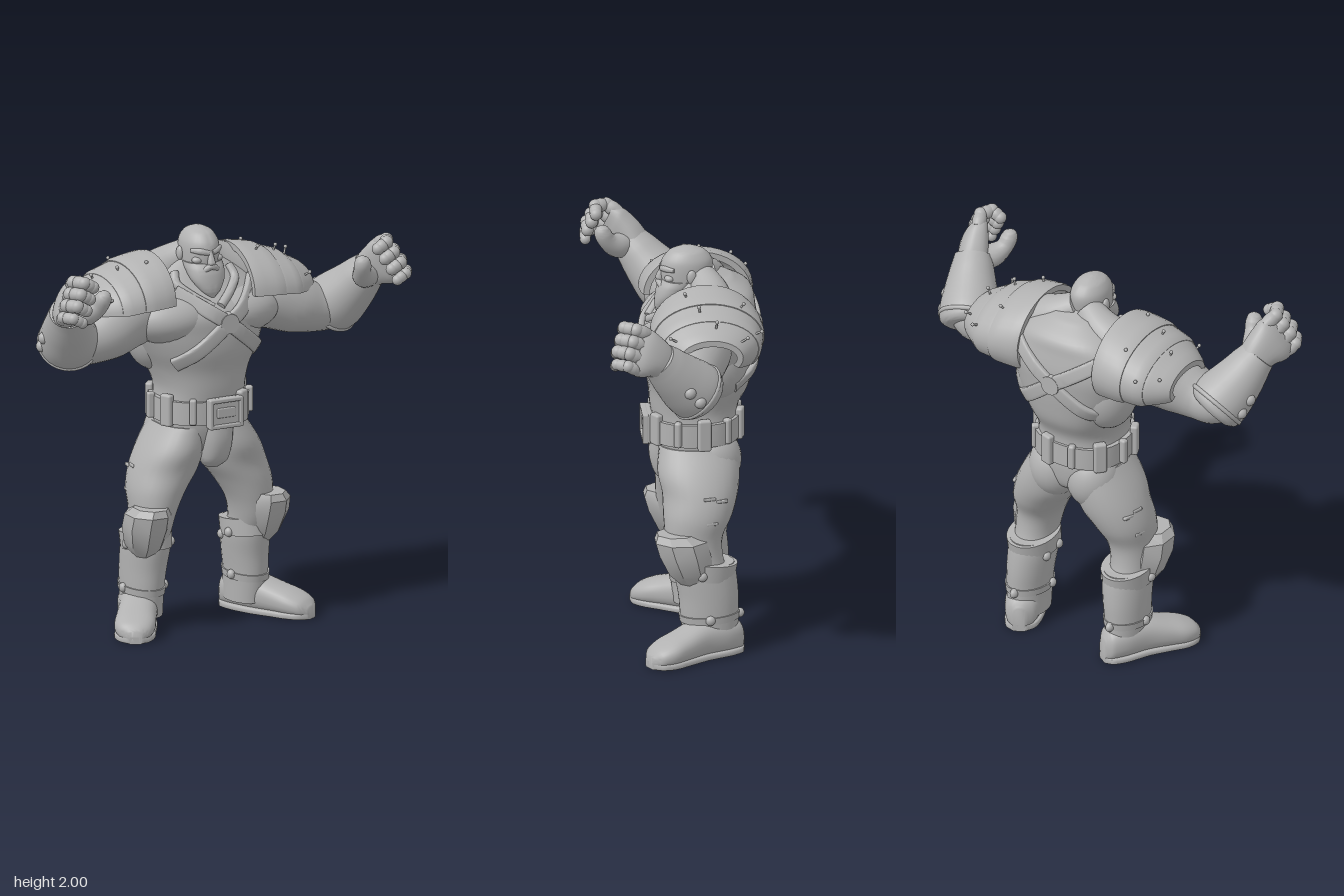
import * as THREE from 'three';
import { toCreasedNormals } from 'three/addons/utils/BufferGeometryUtils.js';
import { RoundedBoxGeometry } from 'three/addons/geometries/RoundedBoxGeometry.js';

const V = (x, y, z) => new THREE.Vector3(x, y, z);
const clay = new THREE.MeshStandardMaterial({ color: 0xb2b2b2 });
clay.name = 'clay grey';
const MID = 0.0175; // the lower body stands slightly off centre

// Closed skin over a list of equal rings, capped with strips, wound outwards
function skin(rings, crease = 0.8) {
  const n = rings[0].length, last = (rings.length - 1) * n, pos = [], idx = [];
  rings.forEach(r => r.forEach(p => pos.push(p.x, p.y, p.z)));
  for (let k = 0; k < last; k += n) for (let i = 0; i < n; i++) {
    const a = k + i, b = k + (i + 1) % n;
    idx.push(a, b, b + n, a, b + n, a + n);
  }
  for (let i = 0; i < n / 2 - 1; i++) {
    const j = n - 1 - i;
    idx.push(i + 1, i, j, i + 1, j, j - 1);
    idx.push(last + i, last + i + 1, last + j, last + i + 1, last + j - 1, last + j);
  }
  const P = i => V(pos[3 * i], pos[3 * i + 1], pos[3 * i + 2]);
  let vol = 0;
  for (let i = 0; i < idx.length; i += 3) vol += P(idx[i]).dot(P(idx[i + 1]).cross(P(idx[i + 2])));
  if (vol < 0) idx.reverse();
  const g = new THREE.BufferGeometry();
  g.setAttribute('position', new THREE.Float32BufferAttribute(pos, 3));
  g.setIndex(idx);
  return toCreasedNormals(g, crease);
}

// Rows are [x, y, z, radiusAcross, radiusOther]; dir fixes the ring plane
function loft(rows, { dir, up = V(0, 0, 1), n = 28, pow = 2, steps = 5, crease } = {}) {
  const path = new THREE.CatmullRomCurve3(rows.map(r => V(r[0], r[1], r[2])));
  const radii = new THREE.CatmullRomCurve3(rows.map(r => V(r[3], r[4] ?? r[3], 0)), false, 'catmullrom', 0.5);
  const rings = [], count = (rows.length - 1) * steps;
  for (let k = 0; k <= count; k++) {
    const c = path.getPoint(k / count), r = radii.getPoint(k / count);
    const t = dir ?? path.getTangent(k / count);
    const s = up.clone().cross(t).normalize(), o = t.clone().cross(s).normalize();
    rings.push(Array.from({ length: n }, (_, i) => {
      const a = (i + 0.5) / n * Math.PI * 2, f = v => Math.sign(v) * Math.abs(v) ** (2 / pow);
      return c.clone().addScaledVector(s, r.x * f(Math.cos(a))).addScaledVector(o, r.y * f(Math.sin(a)));
    }));
  }
  return skin(rings, crease);
}
const UP = V(0, 1, 0);
const stack = (rows, o = {}) => loft(rows, { dir: UP, ...o });
const ball = (x, y, z, a, b, c) => new THREE.SphereGeometry(1, 28, 20).scale(a, b, c).translate(x, y, z);
const box = (x, y, z, w, h, d, ry = 0, r = 0.012) =>
  new RoundedBoxGeometry(w, h, d, 2, Math.min(r, w / 3, h / 3, d / 3)).rotateY(ry).translate(x, y, z);
function peg(p, d, r, len) {
  return new THREE.CylinderGeometry(r * 0.8, r, len, 8)
    .applyQuaternion(new THREE.Quaternion().setFromUnitVectors(UP, d)).translate(p.x, p.y, p.z);
}

function mirror(geo) {
  const g = geo.index ? geo.toNonIndexed() : geo.clone();
  for (const k of ['position', 'normal']) {
    const a = g.attributes[k].array;
    for (let i = 0; i < a.length; i += 9) for (let j = 0; j < 3; j++)
      [a[i + 3 + j], a[i + 6 + j]] = [a[i + 6 + j], a[i + 3 + j]];
    for (let i = 0; i < a.length; i += 3) a[i] *= -1;
  }
  return g;
}

// Torso profile, also used to lay straps on its surface
const TORSO = [
  [0.0175, 0.84, -0.08, 0.08, 0.1], [0.0175, 0.9, -0.085, 0.18, 0.17], [0.0175, 1.0, -0.08, 0.22, 0.2],
  [0.0175, 1.1, -0.075, 0.22, 0.205], [0.0175, 1.2, -0.07, 0.215, 0.215], [0.015, 1.3, -0.09, 0.245, 0.245],
  [0.012, 1.4, -0.09, 0.295, 0.268], [0.005, 1.5, -0.095, 0.335, 0.278], [0, 1.6, -0.105, 0.36, 0.278],
  [0, 1.7, -0.145, 0.33, 0.225], [0, 1.78, -0.165, 0.24, 0.185], [0, 1.85, -0.14, 0.11, 0.11]];
function onTorso(x, y, side, lift) {
  const i = Math.max(1, TORSO.findIndex(r => r[1] >= y)), a = TORSO[i - 1], b = TORSO[i];
  const m = a.map((v, k) => v + (b[k] - v) * (y - a[1]) / (b[1] - a[1]));
  const u = Math.min(0.98, Math.abs((x - m[0]) / m[3]));
  return m[2] + side * (m[4] * (1 - u ** 2.4) ** (1 / 2.4) + lift);
}

export function createModel() {
  const model = new THREE.Group();
  model.name = 'armouredStrongman';
  const add = (name, geo, dx = 0, dy = 0) => {
    const m = new THREE.Mesh(geo, clay);
    m.name = name;
    m.position.set(dx, dy, 0);
    model.add(m);
  };
  const pair = (name, geo, mid = 0, rx = 0, ry = 0) => {
    add(name + 'Left', geo, mid);
    add(name + 'Right', mirror(geo), mid + rx, ry);
  };

  // Torso and muscles
  add('torso', stack(TORSO, { n: 40, pow: 2.4 }));
  pair('pectoral', ball(0.17, 1.57, 0.0, 0.24, 0.13, 0.175));
  pair('latissimus', ball(0.185, 1.47, -0.16, 0.14, 0.2, 0.16));
  pair('trapezius', loft([[0.03, 1.85, -0.11, 0.07], [0.13, 1.785, -0.14, 0.1], [0.28, 1.7, -0.14, 0.13]]));
  pair('glute', ball(0.11, 0.94, -0.15, 0.135, 0.16, 0.145), MID);

  // Crossing straps with round clasps, front and back
  for (const s of [1, -1]) for (const m of [1, -1]) {
    const cx = s > 0 ? 0.045 : 0, rows = [-0.25, -0.17, -0.08, 0, 0.08, 0.16, 0.23].map(d => {
      const x = cx + m * d, y = 1.55 + d * (d > 0 ? 0.68 : 0.8);
      return [x, y, onTorso(x, y, s, 0.008), 0.036, 0.016];
    });
    add('chestStrap', loft(rows, { pow: 5, n: 16 }));
  }
  for (const [x, s] of [[0.045, 1], [0, -1]]) {
    const z = onTorso(x, 1.55, s, 0.005);
    add('clasp', new THREE.CylinderGeometry(0.05, 0.056, 0.045, 24).rotateX(s * Math.PI / 2).translate(x, 1.55, z));
  }
  const lip = [[0.15, 1.785], [0.16, 1.74], [0.11, 1.69], [0.02, 1.63]].map(([x, y]) => [x, y, onTorso(x, y, 1, 0.004), 0.022, 0.022]);
  pair('collar', loft(lip, { n: 14 }));

  // Head, face and beard
  add('neck', stack([[0, 1.7, -0.07, 0.1], [0, 1.86, -0.05, 0.085]]));
  add('skull', stack([[0, 1.75, -0.03, 0.06, 0.08], [0, 1.8, -0.03, 0.086, 0.11], [0, 1.87, -0.035, 0.093, 0.126],
    [0, 1.93, -0.04, 0.088, 0.122], [0, 1.975, -0.04, 0.062, 0.085], [0, 1.995, -0.04, 0.025, 0.035], [0, 2, -0.04, 0.003]]));
  add('beard', stack([[0, 1.668, 0.1, 0.012, 0.012], [0, 1.7, 0.085, 0.05, 0.036], [0, 1.75, 0.055, 0.085, 0.062],
    [0, 1.8, 0.02, 0.097, 0.085], [0, 1.835, -0.005, 0.096, 0.088]], { pow: 2.2 }));
  add('moustache', loft([[-0.055, 1.785, 0.075, 0.012], [0, 1.822, 0.1, 0.016], [0.055, 1.785, 0.075, 0.012]]));
  add('nose', stack([[0, 1.828, 0.093, 0.02, 0.018], [0, 1.842, 0.093, 0.02, 0.022], [0, 1.89, 0.08, 0.011, 0.012]], { n: 12 }));
  pair('brow', loft([[0.006, 1.887, 0.083, 0.015], [0.045, 1.895, 0.068, 0.016], [0.08, 1.896, 0.03, 0.01]], { n: 12 }));
  pair('cheek', ball(0.055, 1.85, 0.05, 0.028, 0.018, 0.025));
  pair('ear', ball(0.095, 1.865, -0.055, 0.016, 0.036, 0.024));

  // Belt, buckle and pouches
  add('belt', stack([[MID, 1.04, -0.07, 0.238, 0.222], [MID, 1.155, -0.07, 0.238, 0.222]], { n: 40, pow: 2.4, steps: 1 }));
  for (let i = 1; i < 11; i++) {
    const a = Math.PI / 2 + i / 11 * Math.PI * 2, wide = i % 2;
    add('beltPouch', box(MID + 0.25 * Math.cos(a), 1.108, -0.07 + 0.228 * Math.sin(a), wide ? 0.035 : 0.065, wide ? 0.13 : 0.16, 0.04, Math.PI / 2 - a));
  }
  add('buckle', box(0.037, 1.097, 0.155, 0.185, 0.15, 0.04));
  for (const s of [1, -1]) {
    add('buckleRim', box(0.037, 1.097 + s * 0.065, 0.172, 0.185, 0.022, 0.03));
    add('buckleRim', box(0.037 + s * 0.082, 1.097, 0.172, 0.022, 0.15, 0.03));
  }
  add('buckleBar', box(0.037, 1.1, 0.172, 0.1, 0.05, 0.02));
  add('loinGuard', stack([[0.035, 0.8, 0.02, 0.035, 0.05], [0.035, 0.84, 0.045, 0.065, 0.075], [0.035, 0.94, 0.05, 0.082, 0.1],
    [0.035, 1.06, 0.045, 0.087, 0.1]], { pow: 2.5 }));

  // Legs, knee guards and boots
  pair('thigh', stack([[0.11, 1.02, -0.085, 0.12, 0.19], [0.155, 0.9, -0.08, 0.15, 0.2], [0.188, 0.8, -0.085, 0.163, 0.185],
    [0.237, 0.7, -0.07, 0.14, 0.168], [0.265, 0.6, -0.05, 0.112, 0.14], [0.278, 0.5, -0.06, 0.1, 0.13], [0.28, 0.4, -0.1, 0.1, 0.12]], { pow: 2.1 }), MID);
  pair('kneeGuard', stack([[0.322, 0.375, -0.045, 0.05, 0.07], [0.325, 0.43, -0.03, 0.09, 0.115], [0.328, 0.53, 0.0, 0.115, 0.135],
    [0.328, 0.6, 0.02, 0.112, 0.135], [0.322, 0.635, 0.04, 0.085, 0.1]], { n: 8, steps: 1, crease: 0.5 }), MID);
  pair('bootShaft', stack([[0.275, 0.47, -0.095, 0.11, 0.15], [0.276, 0.4, -0.105, 0.113, 0.152], [0.282, 0.3, -0.118, 0.107, 0.147],
    [0.287, 0.2, -0.122, 0.1, 0.142], [0.285, 0.06, -0.13, 0.095, 0.135]]), MID);
  const band = (y, h, c, z, rx, rz, tilt) => new THREE.CylinderGeometry(1, 0.97, h, 32).scale(rx, 1, rz).rotateX(tilt).translate(c, y, z);
  pair('bootCuff', band(0.44, 0.085, 0.276, -0.1, 0.121, 0.158, -0.12), MID);
  pair('ankleStrap', band(0.195, 0.035, 0.287, -0.122, 0.108, 0.149, 0.05), MID);
  const foot = [[0.245, -0.278, 0.035, 0.06], [0.255, -0.25, 0.072, 0.08], [0.285, -0.18, 0.092, 0.09], [0.335, -0.07, 0.095, 0.09],
    [0.4, 0.03, 0.098, 0.073], [0.445, 0.1, 0.1, 0.06], [0.475, 0.155, 0.078, 0.045], [0.488, 0.185, 0.035, 0.028]];
  const ahead = V(0.5, 0, 0.87);
  pair('foot', loft(foot.map(([x, z, w, h]) => [x, h + 0.006, z, w, h]), { dir: ahead, up: UP, pow: 2.4 }), MID);
  pair('sole', loft(foot.map(([x, z, w]) => [x, 0.018, z, w, 0.018]), { dir: ahead, up: UP, pow: 5 }), MID);
  for (const [x, y, z] of [[0.395, 0.43, -0.08], [0.16, 0.42, -0.06], [0.39, 0.2, -0.12], [0.185, 0.2, -0.08], [0.28, 0.2, -0.27], [0.17, 0.39, -0.15]])
    pair('bootStud', ball(x, y, z, 0.02, 0.024, 0.024), MID);
  for (const [x, y, z] of [[0.338, 0.81, -0.12], [0.328, 0.795, -0.18], [0.36, 0.69, -0.13]])
    pair('thighPatch', box(x, y, z, 0.02, 0.016, 0.06, 0.2), MID);

  // Shoulder plates: three overlapping arched shells per side
  const shape = new THREE.CatmullRomCurve3([V(1.655, 0.195, 0.245), V(1.65, 0.175, 0.255), V(1.635, 0.15, 0.24), V(1.625, 0.09, 0.15)]);
  const spot = (x, a, lift) => {
    const f = shape.getPoint(THREE.MathUtils.clamp((x - 0.21) / 0.39, 0, 1));
    return V(x, f.x + (f.y + lift) * Math.sin(a), -0.11 + (f.z + lift) * Math.cos(a));
  };
  [[0.21, 0.38, 0.018], [0.35, 0.49, 0.008], [0.46, 0.595, 0]].forEach(([x0, x1, lift]) => {
    const rings = [];
    for (let k = 0; k <= 6; k++) {
      const x = x0 + (x1 - x0) * k / 6, rim = k === 0 || k === 6 ? 0 : 0.006;
      const arc = l => Array.from({ length: 25 }, (_, i) => spot(x, i / 24 * 3.7, l));
      rings.push([...arc(lift + rim), ...arc(lift - 0.03).reverse()]);
    }
    pair('shoulderPlate', skin(rings, 0.6), 0, -0.015, 0.01);
  });
  for (const [x, a] of [[0.3, 1.2], [0.36, 2.2], [0.43, 1.4], [0.47, 2.7], [0.53, 1.7], [0.54, 0.6], [0.56, 2.5]]) {
    const d = V(0.3, Math.sin(a), Math.cos(a)).normalize(), p = spot(x, a, 0.018);
    pair('shoulderPin', peg(p, d, 0.006, 0.05));
    pair('pinHead', ball(...p.addScaledVector(d, 0.025).toArray(), 0.009, 0.009, 0.009));
  }

  // Arms and bracers
  pair('upperArm', loft([[0.26, 1.61, -0.09, 0.155], [0.4, 1.59, -0.055, 0.165], [0.52, 1.54, -0.02, 0.147], [0.62, 1.51, -0.01, 0.122],
    [0.7, 1.505, -0.01, 0.113], [0.77, 1.53, 0.01, 0.095]]));
  pair('bracer', loft([[0.708, 1.478, -0.055, 0.11], [0.718, 1.495, -0.04, 0.143], [0.745, 1.54, 0.01, 0.146], [0.785, 1.615, 0.08, 0.125],
    [0.815, 1.68, 0.135, 0.105], [0.835, 1.72, 0.17, 0.09]], { up: V(1, 0, 0) }));
  pair('bracerRim', new THREE.TorusGeometry(0.143, 0.012, 8, 32)
    .applyQuaternion(new THREE.Quaternion().setFromUnitVectors(V(0, 0, 1), V(0.3, 0.65, 0.7).normalize())).translate(0.724, 1.505, -0.028));
  for (const [x, y, z] of [[0.87, 1.505, -0.03], [0.885, 1.56, 0.02], [0.785, 1.57, -0.1], [0.645, 1.56, -0.07]])
    pair('bracerStud', ball(x, y, z, 0.03, 0.03, 0.03));

  // Hands: palm, four curled fingers and a raised thumb
  const T = V(0.25, 0.45, 0.86).normalize(), R = V(-0.47, 0.83, -0.3).normalize(), N = R.clone().cross(T);
  const K = V(0.875, 1.772, 0.25);
  const hand = (o, t, q) => K.clone().addScaledVector(R, o).addScaledVector(T, t).addScaledVector(N, q).toArray();
  pair('palm', loft([[0.82, 1.69, 0.145, 0.08, 0.075], [...hand(0, -0.07, -0.01), 0.1, 0.07], [...hand(0, -0.01, 0), 0.12, 0.06],
    [...hand(0, 0.04, 0), 0.114, 0.042]], { up: N, pow: 2.5 }), 0, 0, 0.015);
  for (let i = 0; i < 4; i++) {
    const o = (i - 1.5) * 0.061, q = i === 0 ? 0.88 : 1;
    const joints = [[0, 0.01], [0.075, 0.016], [0.118, -0.03], [0.095, -0.08]].map(([t, u]) => hand(o, t * q, u));
    for (let j = 0; j < 3; j++) {
      const r = (0.036 - j * 0.002) * q;
      pair('finger', loft([[...joints[j], r * 0.8], [...joints[j].map((v, k) => (v + joints[j + 1][k]) / 2), r], [...joints[j + 1], r * 0.85]], { up: R, n: 14, steps: 4 }), 0, 0, 0.015);
      pair('knuckle', ball(...joints[j + 1], r * 0.95, r * 0.95, r * 0.95), 0, 0, 0.015);
    }
  }
  pair('thumb', loft([[0.81, 1.7, 0.19, 0.065], [0.765, 1.71, 0.24, 0.06], [0.73, 1.745, 0.285, 0.044], [0.718, 1.79, 0.31, 0.042],
    [0.714, 1.82, 0.315, 0.03], [0.714, 1.833, 0.316, 0.008]], { up: V(1, 0, 0), n: 16 }), 0, 0, 0.015);
  return model;
}
